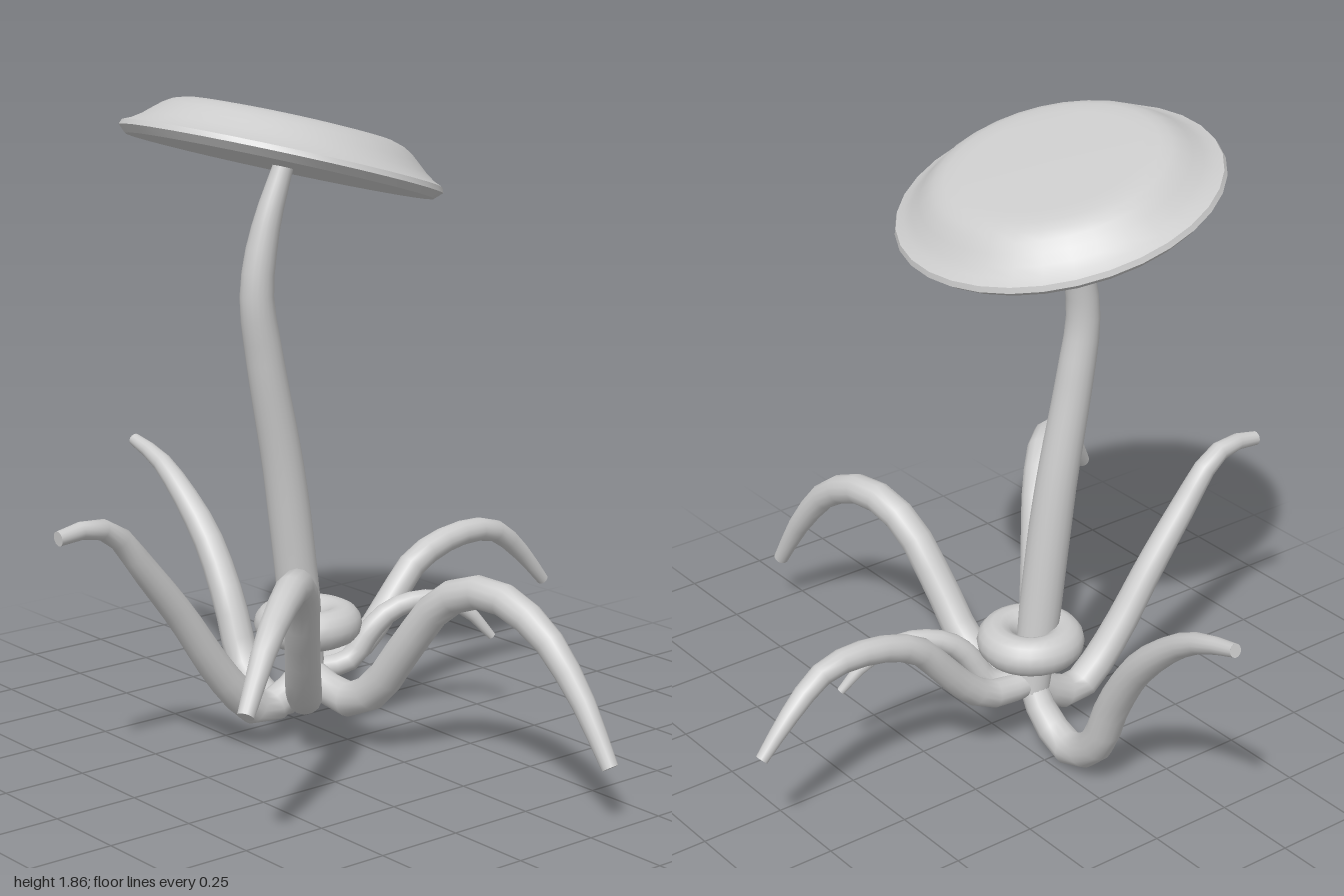
import * as THREE from 'three';
import { mergeGeometries, toCreasedNormals } from 'three/addons/utils/BufferGeometryUtils.js';

const material = new THREE.MeshStandardMaterial({ color: 0xcccccc });
const AXIS_Z = -0.125; // depth of the stem, ring and cap

// Tube along the points whose radius follows the listed values, closed by flat discs
function taperedTube(name, points, radii, rings = 16, sides = 14) {
  const curve = new THREE.CatmullRomCurve3(points.map(p => new THREE.Vector3(...p)));
  const tube = new THREE.TubeGeometry(curve, rings, 1, sides);
  const pos = tube.attributes.position;
  const v = new THREE.Vector3();
  for (let i = 0; i <= rings; i++) {
    const f = (i / rings) * (radii.length - 1);
    const k = Math.min(Math.floor(f), radii.length - 2);
    const r = THREE.MathUtils.lerp(radii[k], radii[k + 1], f - k);
    const centre = curve.getPointAt(i / rings);
    for (let j = 0; j <= sides; j++) {
      const n = i * (sides + 1) + j;
      v.fromBufferAttribute(pos, n).sub(centre).multiplyScalar(r).add(centre);
      pos.setXYZ(n, v.x, v.y, v.z);
    }
  }
  const discs = [0, 1].map(u => {
    const out = curve.getTangentAt(u).multiplyScalar(u ? 1 : -1);
    const turn = new THREE.Quaternion().setFromUnitVectors(new THREE.Vector3(0, 0, 1), out);
    const at = curve.getPointAt(u);
    return new THREE.CircleGeometry(radii[u ? radii.length - 1 : 0], sides)
      .applyQuaternion(turn).translate(at.x, at.y, at.z);
  });
  const mesh = new THREE.Mesh(mergeGeometries([tube, ...discs]), material);
  mesh.name = name;
  return mesh;
}

export function createModel() {
  const group = new THREE.Group();
  group.name = 'mushroomWithTentacles';

  // Tilted cap: flat underside, thin rim and raised plateau
  const profile = [
    [0, 0], [0.435, 0], [0.456, 0.02], [0.45, 0.035], [0.425, 0.046], [0.4, 0.063],
    [0.375, 0.085], [0.35, 0.106], [0.325, 0.121], [0.295, 0.13], [0.25, 0.133], [0, 0.133],
  ].map(p => new THREE.Vector2(...p));
  const cap = new THREE.Mesh(toCreasedNormals(new THREE.LatheGeometry(profile, 32), 0.75), material);
  cap.name = 'cap';
  cap.position.set(-0.139, 1.668, AXIS_Z);
  cap.rotation.z = -0.272;
  group.add(cap);

  // Curved stem, thinning toward the cap
  group.add(taperedTube('stem', [
    [-0.05, 0.18, AXIS_Z], [-0.075, 0.4, AXIS_Z], [-0.13, 0.8, AXIS_Z], [-0.195, 1.13, AXIS_Z],
    [-0.222, 1.32, AXIS_Z], [-0.19, 1.5, AXIS_Z], [-0.122, 1.68, AXIS_Z],
  ], [0.052, 0.061, 0.061, 0.057, 0.052, 0.044, 0.028], 24, 20));

  // Ring around the foot of the stem
  const ring = new THREE.Mesh(new THREE.TorusGeometry(0.1, 0.056, 14, 28), material);
  ring.name = 'ring';
  ring.rotation.x = -Math.PI / 2;
  ring.position.set(-0.045, 0.342, AXIS_Z);
  group.add(ring);

  // Tentacles spreading from the foot
  const root = [-0.05, 0.2, AXIS_Z];
  const thick = [0.045, 0.052, 0.05, 0.048, 0.045, 0.036, 0.023];
  const slim = [0.038, 0.042, 0.042, 0.04, 0.036, 0.03, 0.018];
  const tentacles = {
    backTentacle: [[
      root, [-0.05, 0.12, -0.18], [-0.05, 0.06, -0.3], [-0.045, 0.13, -0.42], [-0.04, 0.32, -0.51],
      [-0.035, 0.487, -0.62], [-0.035, 0.625, -0.77], [-0.03, 0.685, -0.875], [-0.03, 0.722, -1],
    ], [0.04, 0.05, 0.05, 0.048, 0.044, 0.033, 0.019]],
    frontTentacle: [[
      root, [-0.04, 0.155, 0], [-0.035, 0.16, 0.08], [-0.025, 0.225, 0.17], [-0.01, 0.365, 0.275],
      [0.015, 0.515, 0.4], [0.04, 0.565, 0.555], [0.06, 0.5, 0.73], [0.08, 0.35, 0.865], [0.09, 0.175, 0.975],
    ], thick],
    frontRightTentacle: [[
      root, [-0.14, 0.165, -0.02], [-0.21, 0.23, 0.06], [-0.3, 0.4, 0.17], [-0.39, 0.575, 0.28],
      [-0.5, 0.645, 0.385], [-0.68, 0.57, 0.51], [-0.805, 0.405, 0.575],
    ], thick],
    rightTentacle: [[
      root, [-0.12, 0.145, AXIS_Z], [-0.21, 0.115, AXIS_Z], [-0.285, 0.165, AXIS_Z], [-0.375, 0.275, -0.13],
      [-0.485, 0.44, -0.135], [-0.61, 0.6, -0.135], [-0.7, 0.71, -0.135], [-0.78, 0.745, -0.13], [-0.89, 0.735, -0.13],
    ], [0.045, 0.05, 0.048, 0.044, 0.04, 0.032, 0.021]],
    leftTentacle: [[
      root, [0.01, 0.2, AXIS_Z], [0.11, 0.215, AXIS_Z], [0.2, 0.28, AXIS_Z], [0.285, 0.375, AXIS_Z],
      [0.365, 0.455, AXIS_Z], [0.52, 0.505, AXIS_Z], [0.67, 0.495, AXIS_Z], [0.785, 0.41, -0.13], [0.885, 0.3, -0.13],
    ], slim],
    smallTentacle: [[
      root, [0.06, 0.22, -0.07], [0.12, 0.31, -0.04], [0.185, 0.365, -0.015], [0.3, 0.385, 0.03],
      [0.4, 0.335, 0.065], [0.47, 0.252, 0.095],
    ], [0.03, 0.033, 0.034, 0.031, 0.026, 0.02, 0.012]],
  };
  for (const [name, [points, radii]] of Object.entries(tentacles)) {
    group.add(taperedTube(name, points, radii));
  }
  return group;
}
